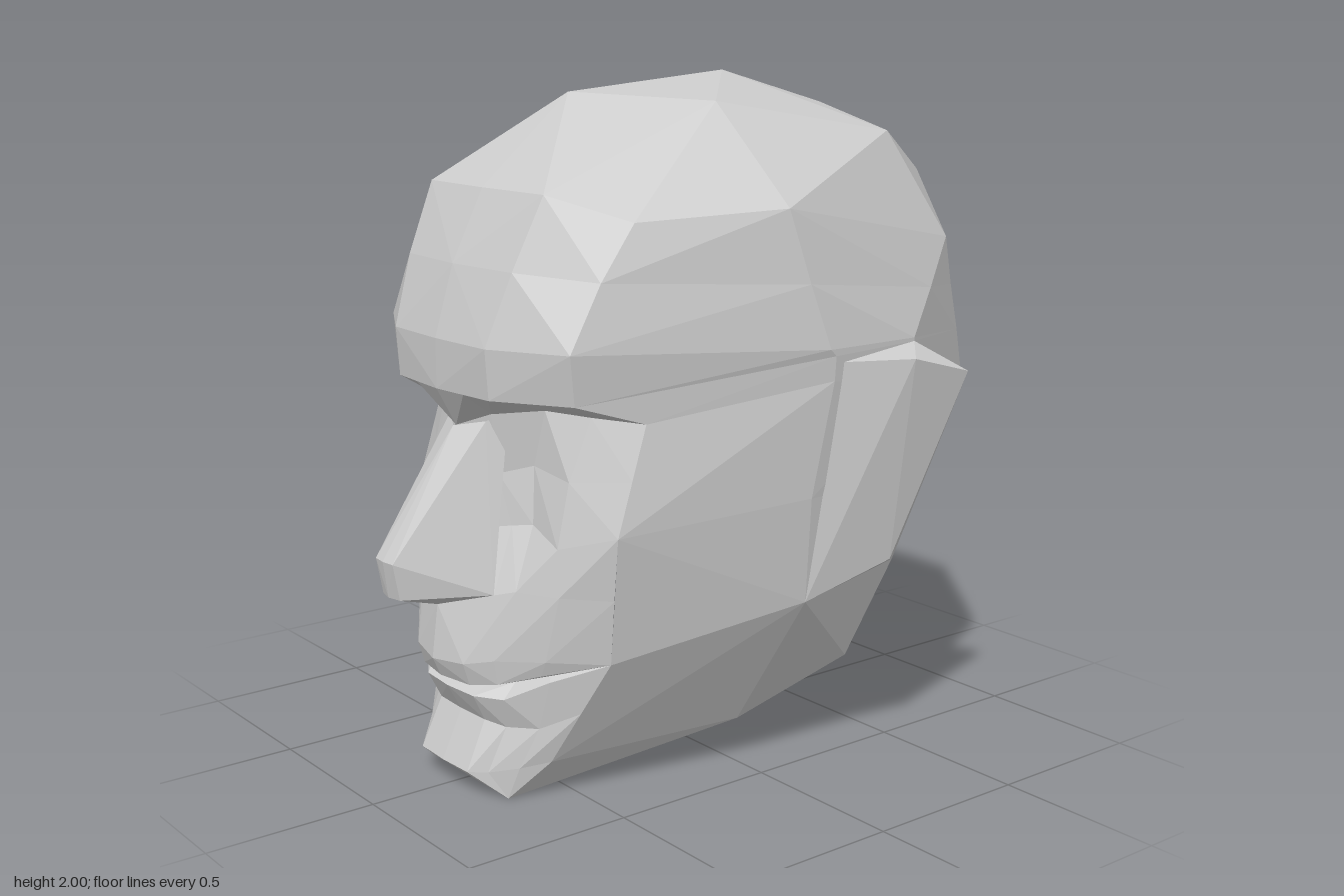
import * as THREE from 'three';

const material = new THREE.MeshStandardMaterial({ color: 0xcccccc, flatShading: true });

// Skins a grid of points: rows run downwards, columns from the front towards +x and the back.
// Each entry of sides adds the grid as given (1) or mirrored in x (-1).
function skin(name, rows, sides = [1, -1]) {
  const positions = [];
  const triangle = (side, ...corners) => {
    const [a, b, c] = corners;
    if (new THREE.Triangle(a, b, c).getArea() < 1e-6) return; // merged corners
    for (const p of side > 0 ? [a, b, c] : [a, c, b]) positions.push(p.x * side, p.y, p.z);
  };
  const at = (r, c) => new THREE.Vector3(...rows[r][c]);
  for (const side of sides) {
    for (let r = 0; r < rows.length - 1; r++) {
      for (let c = 0; c < rows[r].length - 1; c++) {
        const a = at(r, c), b = at(r, c + 1), d = at(r + 1, c), e = at(r + 1, c + 1);
        // Split each quad along the diagonal that bulges outwards
        const normal = d.clone().sub(a).cross(e.clone().sub(a));
        if (normal.dot(b.clone().sub(a)) < 1e-9) {
          triangle(side, a, d, e);
          triangle(side, a, e, b);
        } else {
          triangle(side, a, d, b);
          triangle(side, d, e, b);
        }
      }
    }
  }
  const geometry = new THREE.BufferGeometry();
  geometry.setAttribute('position', new THREE.Float32BufferAttribute(positions, 3));
  geometry.computeVertexNormals();
  const mesh = new THREE.Mesh(geometry, material);
  mesh.name = name;
  return mesh;
}

export function createModel() {
  const head = new THREE.Group();
  head.name = 'head';

  // Shared corners
  const crown = [0, 2, -0.25], hairline = [0, 1.95, 0.31], crownSide = [0.345, 1.93, 0.06];
  const crownBack = [0, 1.895, -0.645], crownRear = [0.515, 1.84, -0.43], rearSide = [0.6, 1.535, -0.595];
  const browEnd = [0.44, 1.16, 0.61], temple = [0.675, 1.25, -0.1], behindEar = [0.675, 1.26, -0.4];
  const backSide = [0.52, 1.1, -0.765], backMid = [0, 1.04, -0.945], nape = [0, 0.54, -0.76];
  const eyeCorner = [0.5, 1.1, 0.42], cheek = [0.5, 0.8, 0.515], mouthCorner = [0.445, 0.43, 0.5];
  const jawFront = [0.285, 0.12, 0.59], chinEdge = [0.2, 0.005, 0.68], throat = [0, 0.08, 0];
  const earFoot = [0.61, 0.54, -0.06], earHeel = [0.6, 0.6, -0.41], neck = [0, 0.283, -0.335];

  // Cranium, from the crown down to the brow edge
  head.add(skin('cranium', [
    Array(8).fill(crown),
    [hairline, hairline, crownSide, crownSide, crownRear, crownRear, crownBack, crownBack],
    [[0, 1.7, 0.6], [0.28, 1.7, 0.59], [0.45, 1.63, 0.42], [0.61, 1.655, 0.02],
      rearSide, rearSide, [0.29, 1.7, -0.785], [0, 1.7, -0.79]],
    [[0, 1.5, 0.7], [0.26, 1.5, 0.68], [0.45, 1.48, 0.53], [0.645, 1.45, -0.03],
      [0.637, 1.4, -0.5], [0.573, 1.39, -0.65], [0.405, 1.4, -0.775], [0, 1.385, -0.945]],
    [[0, 1.3, 0.76], [0.23, 1.3, 0.75], [0.45, 1.3, 0.63], [0.675, 1.27, -0.08],
      [0.675, 1.27, -0.4], [0.547, 1.245, -0.71], [0.462, 1.25, -0.77], [0, 1.2, -0.945]],
    [[0, 1.16, 0.76], [0.23, 1.16, 0.74], browEnd, temple, behindEar, backSide, backSide, backMid],
  ]));

  // Sides of the face, back of the neck and underside of the jaw
  head.add(skin('jaw', [
    [browEnd, temple, behindEar, backSide, backMid],
    [eyeCorner, [0.67, 1.18, -0.1], [0.665, 1.12, -0.4], backSide, backMid],
    [cheek, [0.64, 0.85, -0.05], [0.63, 0.85, -0.41], backSide, [0, 0.79, -0.85]],
    [mouthCorner, earFoot, earHeel, nape, nape],
    [jawFront, [0.39, 0.14, 0], [0.49, 0.29, -0.335], nape, nape],
    [chinEdge, throat, neck, nape, nape],
    [[0, 0.005, 0.68], throat, neck, nape, nape],
  ]));

  // Brow underside, eye sockets and cheeks
  const upperLipTop = [[0, 0.545, 0.775], [0.175, 0.6, 0.7], [0.24, 0.62, 0.67],
    [0.36, 0.62, 0.61], [0.475, 0.62, 0.51]];
  head.add(skin('eyesAndCheeks', [
    [[0, 1.16, 0.76], [0.12, 1.16, 0.75], [0.23, 1.16, 0.74], [0.34, 1.16, 0.67], browEnd],
    [[0, 1.05, 0.7], [0.1, 1.09, 0.65], [0.23, 1.11, 0.56], [0.36, 1.105, 0.5], eyeCorner],
    [[0, 0.9, 0.64], [0.1, 0.92, 0.63], [0.19, 0.95, 0.57], [0.34, 0.93, 0.56], [0.5, 0.95, 0.467]],
    [[0, 0.75, 0.7], [0.15, 0.78, 0.62], [0.21, 0.79, 0.59], [0.34, 0.75, 0.6], cheek],
    upperLipTop,
  ]));

  // Upper lip, mouth groove, lower lip and chin
  head.add(skin('mouthAndChin', [
    upperLipTop,
    [[0, 0.39, 0.795], [0.12, 0.4, 0.77], [0.2, 0.42, 0.72], [0.32, 0.43, 0.63], mouthCorner],
    [[0, 0.335, 0.77], [0.12, 0.335, 0.75], [0.2, 0.35, 0.71], [0.3, 0.385, 0.63], mouthCorner],
    [[0, 0.335, 0.67], [0.12, 0.335, 0.67], [0.2, 0.345, 0.65], [0.3, 0.38, 0.6], mouthCorner],
    [[0, 0.3, 0.75], [0.12, 0.3, 0.74], [0.2, 0.3, 0.69], [0.31, 0.365, 0.61], mouthCorner],
    [[0, 0.22, 0.705], [0.115, 0.22, 0.7], [0.18, 0.21, 0.67], [0.27, 0.22, 0.62], [0.365, 0.275, 0.545]],
    [[0, 0.08, 0.77], [0.12, 0.08, 0.765], [0.16, 0.08, 0.72], [0.23, 0.1, 0.66], jawFront],
    [[0, 0.005, 0.68], [0.1, 0.005, 0.68], chinEdge, chinEdge, chinEdge],
  ]));

  // Nose: bridge, tip and underside
  const wing = [0.175, 0.6, 0.7], noseBase = [0, 0.545, 0.775];
  head.add(skin('nose', [
    [[0, 1.05, 0.71], [0.09, 1.07, 0.66], [0.11, 1.09, 0.6]],
    [[0, 0.7, 0.945], [0.045, 0.7, 0.94], wing],
    [[0, 0.595, 0.93], [0.045, 0.595, 0.92], wing],
    [noseBase, noseBase, wing],
  ]));

  // Ears: wedges that open backwards
  const lobe = [0.69, 0.64, -0.31], earFront = [0.67, 1.23, -0.125];
  const ear = [
    [earFront, [0.67, 1.25, -0.3], behindEar, behindEar],
    [earFront, [0.78, 1.235, -0.3], [0.79, 1.18, -0.5], [0.66, 1.24, -0.4]],
    [earFoot, lobe, lobe, earHeel],
    [earFoot, earFoot, earHeel, earHeel],
  ];
  head.add(skin('leftEar', ear, [1]), skin('rightEar', ear, [-1]));

  return head;
}
